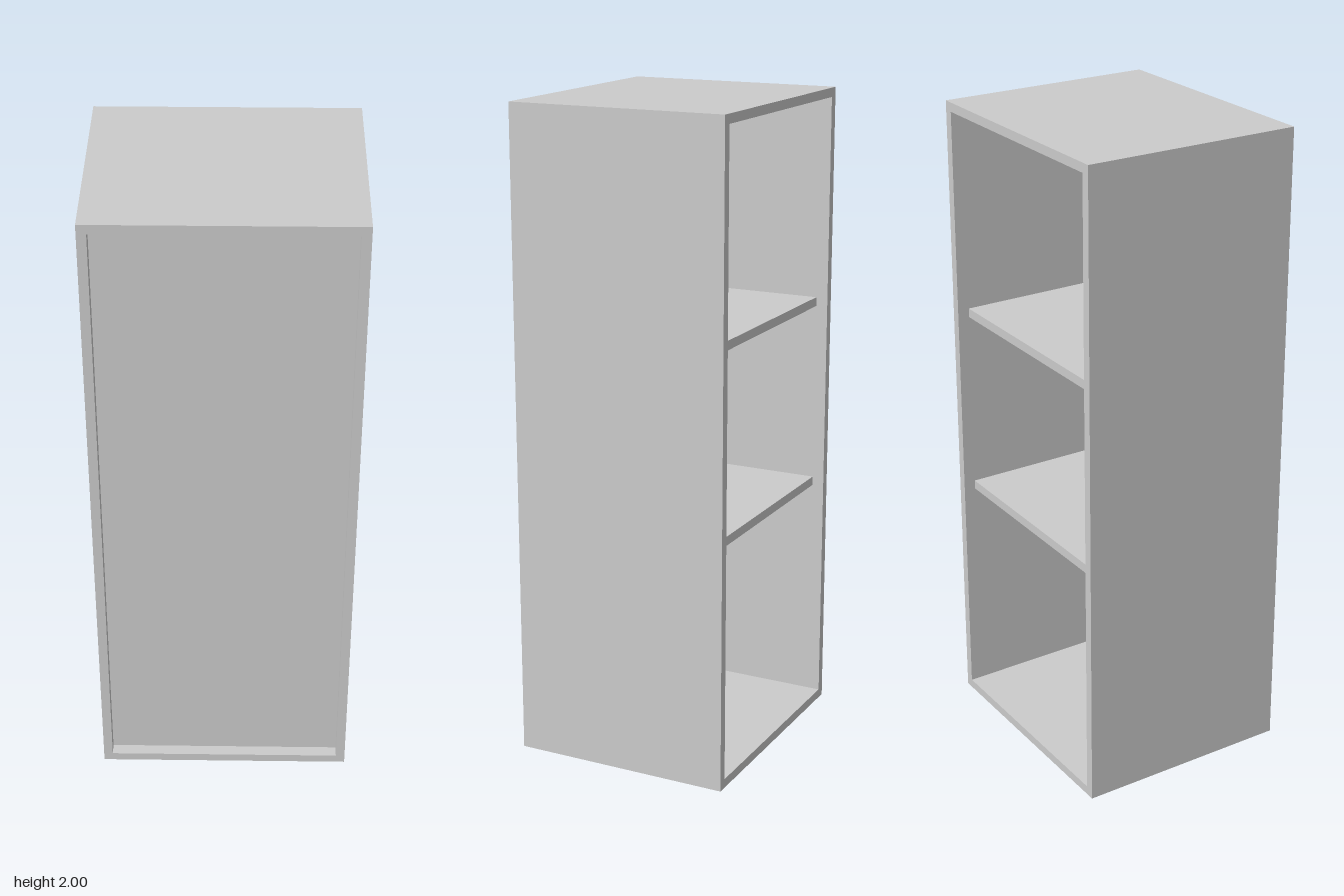
import * as THREE from 'three';

const W = 0.78, H = 2, D = 0.68; // outer size
const T = 0.028;                 // board thickness
const RECESS = 0.037;            // setback of front panel and shelves

export function createModel() {
  const group = new THREE.Group();
  group.name = 'cabinet';
  const material = new THREE.MeshStandardMaterial({ color: 0xcccccc });

  const add = (name, geometry, x, y, z) => {
    const mesh = new THREE.Mesh(geometry, material);
    mesh.name = name;
    mesh.position.set(x, y, z);
    group.add(mesh);
  };

  // Outer carcass: rectangular frame running front to back
  const rect = (Type, x, y0, y1) => new Type([
    new THREE.Vector2(-x, y0), new THREE.Vector2(x, y0),
    new THREE.Vector2(x, y1), new THREE.Vector2(-x, y1),
  ]);
  const frame = rect(THREE.Shape, W / 2, 0, H);
  frame.holes.push(rect(THREE.Path, W / 2 - T, T, H - T));
  add('carcass', new THREE.ExtrudeGeometry(frame, { depth: D, bevelEnabled: false }), 0, 0, -D / 2);

  // Recessed front panel
  const innerW = W - 2 * T, panelT = 0.01;
  const panelZ = D / 2 - RECESS - panelT / 2;
  add('frontPanel', new THREE.BoxGeometry(innerW, H - 2 * T, panelT), 0, H / 2, panelZ);

  // Two shelves, open at the back
  const back = -D / 2 + RECESS, front = panelZ - panelT / 2;
  for (const [name, top] of [['upperShelf', 1.35], ['lowerShelf', 0.762]]) {
    add(name, new THREE.BoxGeometry(innerW, T, front - back), 0, top - T / 2, (front + back) / 2);
  }
  return group;
}
